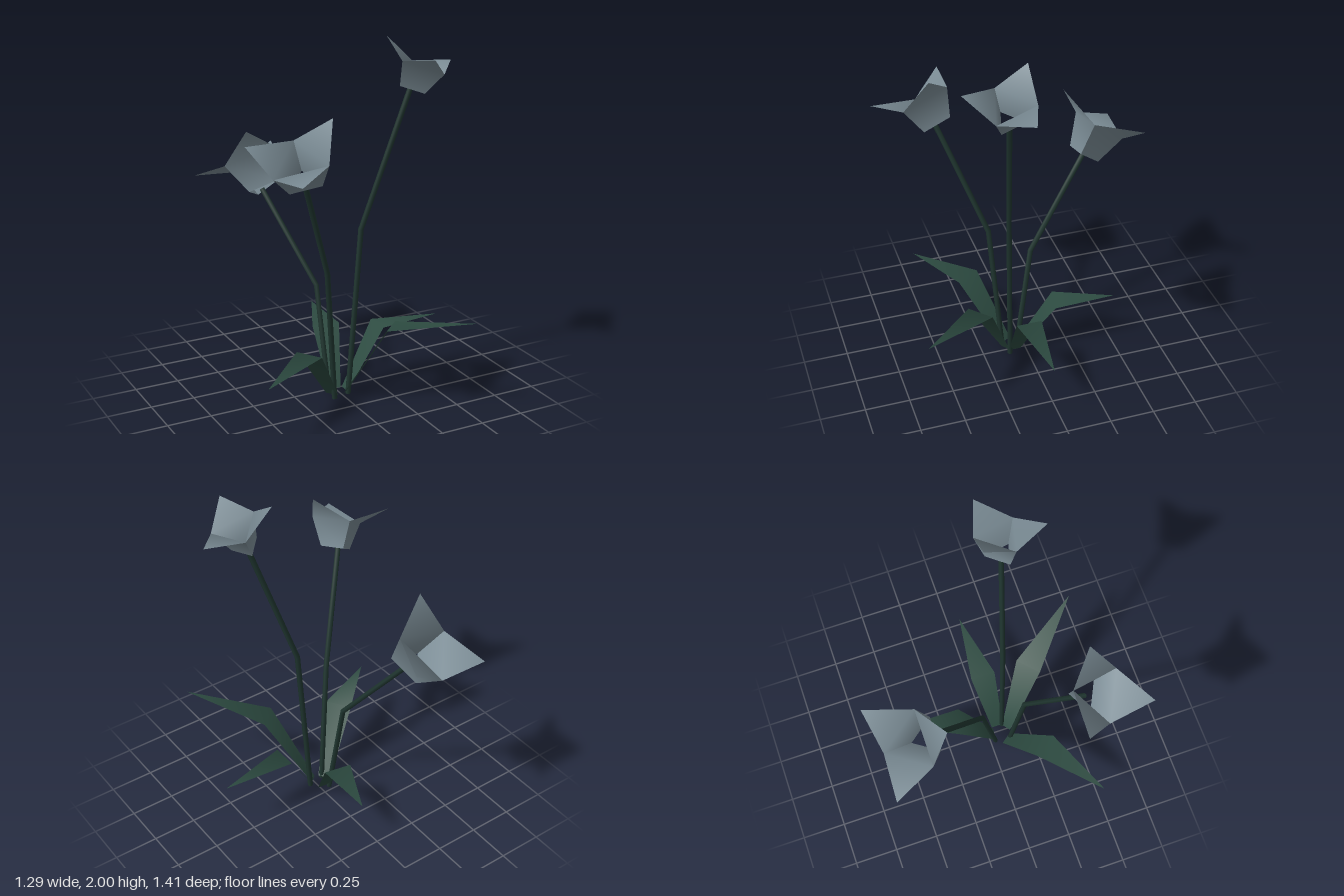
import * as THREE from 'three';

const V = (p) => new THREE.Vector3(...p);
const material = (color) => new THREE.MeshStandardMaterial({ color, side: THREE.DoubleSide });
const stemMaterial = material(0x1f352f);
const leafMaterial = material(0x2c4a40);
const petalMaterial = material(0x7a8b94);

// Pointed blade bent across its widest line: base pair, middle pair, tip
function blade(name, mat, baseL, baseR, midL, midR, tip) {
  const geometry = new THREE.BufferGeometry().setFromPoints([baseL, baseR, midR, midL, tip]);
  geometry.setIndex([0, 1, 2, 0, 2, 3, 3, 2, 4]);
  geometry.computeVertexNormals();
  const mesh = new THREE.Mesh(geometry, mat);
  mesh.name = name;
  return mesh;
}

// Straight-sided path that keeps its bend exactly at the middle point
class BentPath extends THREE.Curve {
  constructor(points) {
    super();
    this.points = points;
  }
  getPoint(t, target = new THREE.Vector3()) {
    const s = t * (this.points.length - 1);
    const i = Math.min(Math.floor(s), this.points.length - 2);
    return target.lerpVectors(this.points[i], this.points[i + 1], s - i);
  }
  getPointAt(u, target) { return this.getPoint(u, target); }
  getTangentAt(u, target) { return this.getTangent(u, target); }
}

// Three-petalled cup: valleys[i] is the corner shared by petals i and i + 1
function makeFlower({ stem, tips, valleys }) {
  const flower = new THREE.Group();
  flower.name = 'flower';

  const path = new BentPath(stem.map(V));
  const stalk = new THREE.Mesh(new THREE.TubeGeometry(path, 2, 0.015, 6), stemMaterial);
  stalk.name = 'stem';
  flower.add(stalk);

  // The open bottom is a smaller copy of the valley triangle around the stem top
  const rim = valleys.map(V);
  const centre = rim.reduce((sum, p) => sum.add(p), new THREE.Vector3()).divideScalar(3);
  const top = V(stem[2]);
  const bottom = rim.map((p) => p.clone().sub(centre).multiplyScalar(0.6).add(top));

  tips.forEach((tip, i) => {
    const j = (i + 2) % 3;
    flower.add(blade('petal', petalMaterial, bottom[j], bottom[i], rim[j], rim[i], V(tip)));
  });
  return flower;
}

const flowers = [
  { // tall, right
    stem: [[0.035, 0.005, 0.1], [0.1, 0.97, 0.12], [0.35, 1.73, 0.19]],
    tips: [[0.27, 2, 0.07], [0.63, 1.85, 0.14], [0.35, 1.92, 0.43]],
    valleys: [[0.43, 1.85, 0.07], [0.49, 1.81, 0.3], [0.27, 1.89, 0.24]],
  },
  { // front left
    stem: [[-0.06, 0.005, 0.12], [-0.13, 0.77, 0.17], [-0.37, 1.36, 0.39]],
    tips: [[-0.65, 1.56, 0.3], [-0.24, 1.69, 0.445], [-0.535, 1.44, 0.705]],
    valleys: [[-0.39, 1.565, 0.31], [-0.325, 1.49, 0.57], [-0.57, 1.42, 0.45]],
  },
  { // back left
    stem: [[-0.05, 0.005, 0.03], [-0.08, 0.62, -0.06], [-0.235, 1.1, -0.42]],
    tips: [[-0.535, 1.15, -0.68], [-0.045, 1.29, -0.71], [-0.36, 1.46, -0.34]],
    valleys: [[-0.26, 1.14, -0.665], [-0.145, 1.33, -0.45], [-0.445, 1.25, -0.45]],
  },
];

// Leaves: left and right base, left and right middle, tip
const leaves = [
  [[-0.05, 0.02, 0.03], [0.02, 0.02, 0.04], [-0.045, 0.325, -0.18], [0.11, 0.325, -0.15], [0.11, 0.335, -0.5]],
  [[0.03, 0.02, 0.035], [0.03, 0.02, 0.105], [0.245, 0.37, -0.02], [0.245, 0.37, 0.125], [0.645, 0.35, 0.04]],
  [[0.025, 0.02, 0.1], [-0.02, 0.02, 0.135], [0.24, 0.46, 0.26], [0.125, 0.46, 0.365], [0.495, 0.55, 0.68]],
  [[-0.04, 0.02, 0.125], [-0.085, 0.02, 0.065], [-0.24, 0.365, 0.32], [-0.325, 0.365, 0.19], [-0.635, 0.34, 0.495]],
];

export function createModel() {
  const plant = new THREE.Group();
  plant.name = 'floweringPlant';
  flowers.forEach((f) => plant.add(makeFlower(f)));
  leaves.forEach((points) => plant.add(blade('leaf', leafMaterial, ...points.map(V))));
  return plant;
}
